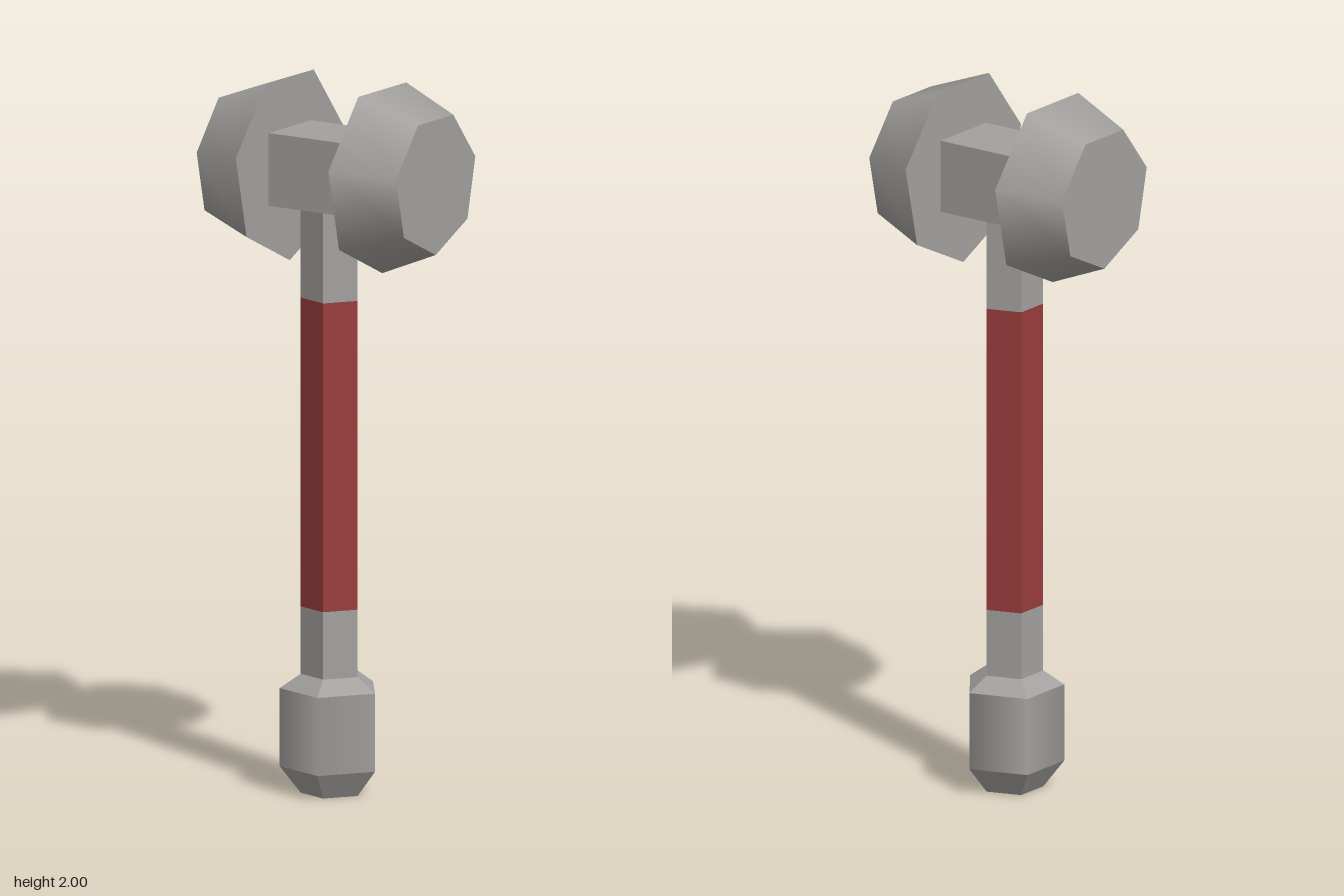
import * as THREE from 'three';

const steel = new THREE.MeshStandardMaterial({ color: 0xa3a19f });
steel.name = 'steel grey';
const wrap = new THREE.MeshStandardMaterial({ color: 0x9a3c3c });
wrap.name = 'grip red';

const SHAFT_X = -0.014; // pentagon axis, so its width is centred
const SHAFT_R = 0.086;
const POMMEL_R = 0.144;

// Give every face its own normal
function faceted(geometry) {
  const flat = geometry.toNonIndexed();
  flat.computeVertexNormals();
  return flat;
}

export function createModel() {
  const model = new THREE.Group();
  model.name = 'hammer';

  function add(name, geometry, material) {
    const mesh = new THREE.Mesh(geometry, material);
    mesh.name = name;
    model.add(mesh);
    return mesh;
  }

  // Upright five-sided section with one corner towards +x
  function section(name, y0, y1, r0, r1, { material = steel, smooth = false, open = true } = {}) {
    const g = new THREE.CylinderGeometry(r1, r0, y1 - y0, 5, 1, open, Math.PI / 2);
    const mesh = add(name, smooth ? g : faceted(g), material);
    mesh.position.set(SHAFT_X, (y0 + y1) / 2, 0);
  }

  // Pommel: bevelled base, smooth-shaded body, bevelled shoulder
  section('pommelBase', 0, 0.075, SHAFT_R, POMMEL_R, { open: false });
  section('pommelBody', 0.075, 0.295, POMMEL_R, POMMEL_R, { smooth: true });
  section('pommelShoulder', 0.295, 0.335, POMMEL_R, SHAFT_R);

  // Shaft with red grip
  section('lowerShaft', 0.335, 0.525, SHAFT_R, SHAFT_R);
  section('grip', 0.525, 1.395, SHAFT_R, SHAFT_R, { material: wrap });
  section('upperShaft', 1.395, 1.66, SHAFT_R, SHAFT_R);

  // Crossbar joining the two striking heads
  add('crossbar', new THREE.BoxGeometry(0.31, 0.205, 0.208), steel).position.y = 1.757;

  // Tapered seven-sided heads, corner down, narrow end outwards
  for (const side of [1, -1]) {
    const g = new THREE.CylinderGeometry(0.2, 0.272, 0.178, 7, 1, false, side * Math.PI / 2);
    g.rotateZ(-side * Math.PI / 2);
    const head = add(side > 0 ? 'leftHead' : 'rightHead', g, steel);
    head.position.set(side * 0.243, 1.755, 0);
  }

  return model;
}
